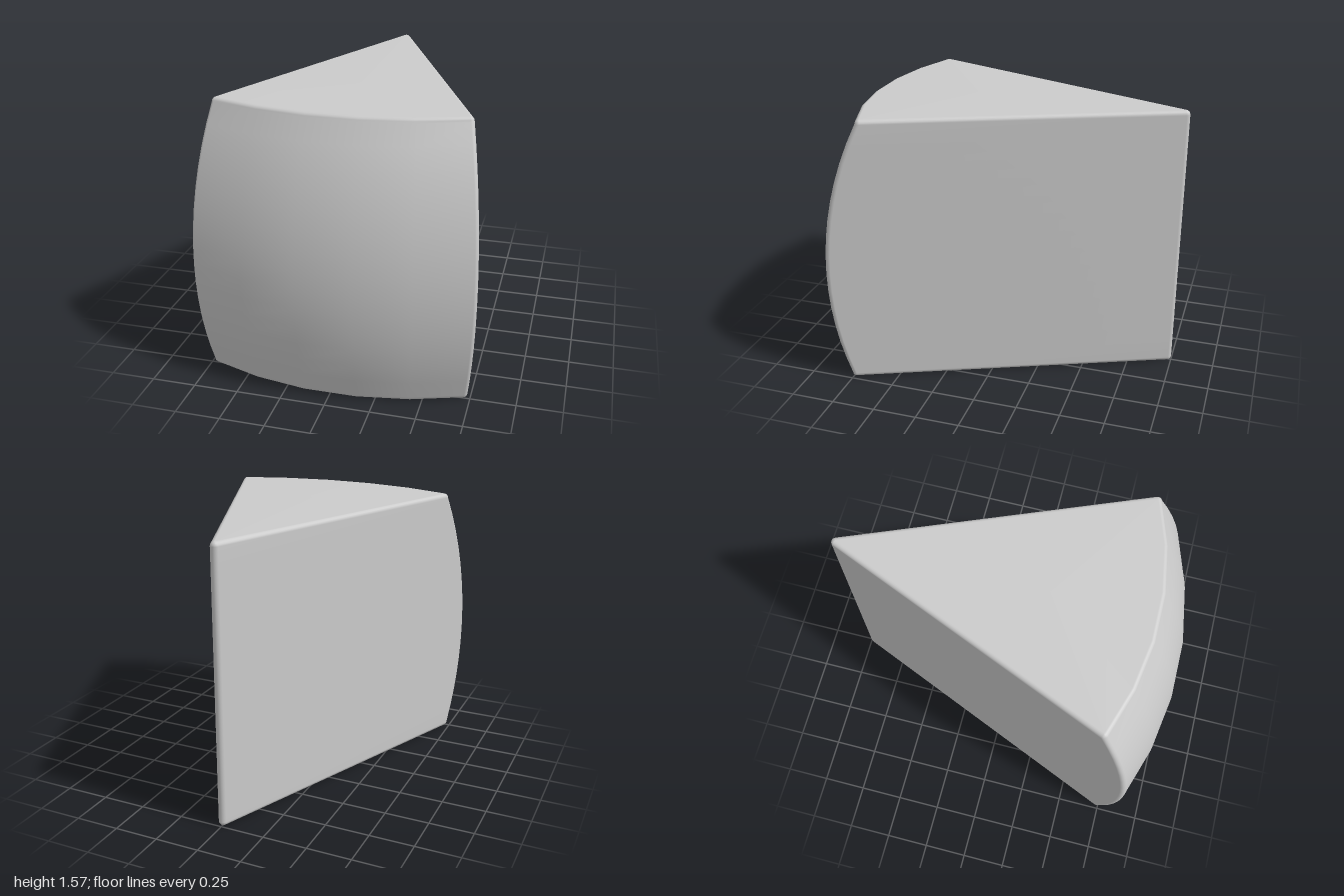
import * as THREE from 'three';

const HEIGHT = 1.565, EDGE = 0.025, MID_Y = 0.65; // EDGE is the rounding radius
const HALF = Math.PI / 8, ARC_STEPS = 5, ROUND = 4, ROWS = 14;
const TIP_Z = -1 + EDGE;
const RADIUS = (2 - 2 * EDGE) / Math.cos(HALF / ARC_STEPS);

// Plan outline, counter-clockwise from above: the direction each point is
// rounded towards, and the angle of its core point (null = wedge tip)
function planOutline() {
  const pts = [];
  const turn = (from, to, steps, core) => {
    for (let i = 0; i <= steps; i++) {
      const dir = from + (to - from) * i / steps;
      pts.push({ dir, core: core === 'arc' ? dir : core });
    }
  };
  const q = Math.PI / 2;
  turn(-HALF, HALF, ARC_STEPS, 'arc');
  turn(HALF + q / ROUND, HALF + q, ROUND - 1, HALF);
  turn(HALF + q, 2 * Math.PI - HALF - q, 6, null);
  turn(-HALF - q, -HALF - q / ROUND, ROUND - 1, -HALF);
  return pts;
}

// Horizontal layers: rounded bottom edge, bulging body, rounded top edge
function layers() {
  const list = [], low = EDGE, high = HEIGHT - EDGE;
  for (let i = 0; i < ROUND; i++) list.push({ y: low, tilt: (i / ROUND - 1) * Math.PI / 2 });
  for (let i = 0; i <= ROWS; i++) list.push({ y: low + (high - low) * i / ROWS, tilt: 0 });
  for (let i = 1; i <= ROUND; i++) list.push({ y: high, tilt: i / ROUND * Math.PI / 2 });
  return list;
}

function wedgeGeometry() {
  const outline = planOutline(), rows = layers(), n = outline.length;
  const pos = [], index = [];
  for (const { y, tilt } of rows) {
    const r = Math.sqrt(RADIUS ** 2 - (y - MID_Y) ** 2); // spherical front
    const out = EDGE * Math.cos(tilt);
    for (const { dir, core } of outline) {
      const cr = core === null ? 0 : r, ca = core ?? 0;
      pos.push(
        cr * Math.sin(ca) + out * Math.sin(dir),
        y + EDGE * Math.sin(tilt),
        TIP_Z + cr * Math.cos(ca) + out * Math.cos(dir));
    }
  }
  // Skin between layers
  for (let l = 0; l < rows.length - 1; l++) {
    for (let i = 0; i < n; i++) {
      const j = (i + 1) % n, a = l * n + i, b = l * n + j;
      index.push(a, b, b + n, a, b + n, a + n);
    }
  }
  // Flat bottom and top
  const bottom = rows.length * n, top = bottom + 1, last = (rows.length - 1) * n;
  pos.push(0, 0, 0.2, 0, HEIGHT, 0.2);
  for (let i = 0; i < n; i++) {
    const j = (i + 1) % n;
    index.push(bottom, j, i, top, last + i, last + j);
  }
  const geo = new THREE.BufferGeometry();
  geo.setAttribute('position', new THREE.Float32BufferAttribute(pos, 3));
  geo.setIndex(index);
  geo.computeVertexNormals();
  return geo;
}

export function createModel() {
  const group = new THREE.Group();
  group.name = 'wedge';
  const body = new THREE.Mesh(wedgeGeometry(), new THREE.MeshStandardMaterial({ color: 0xcccccc }));
  body.name = 'wedgeBody';
  group.add(body);
  return group;
}
